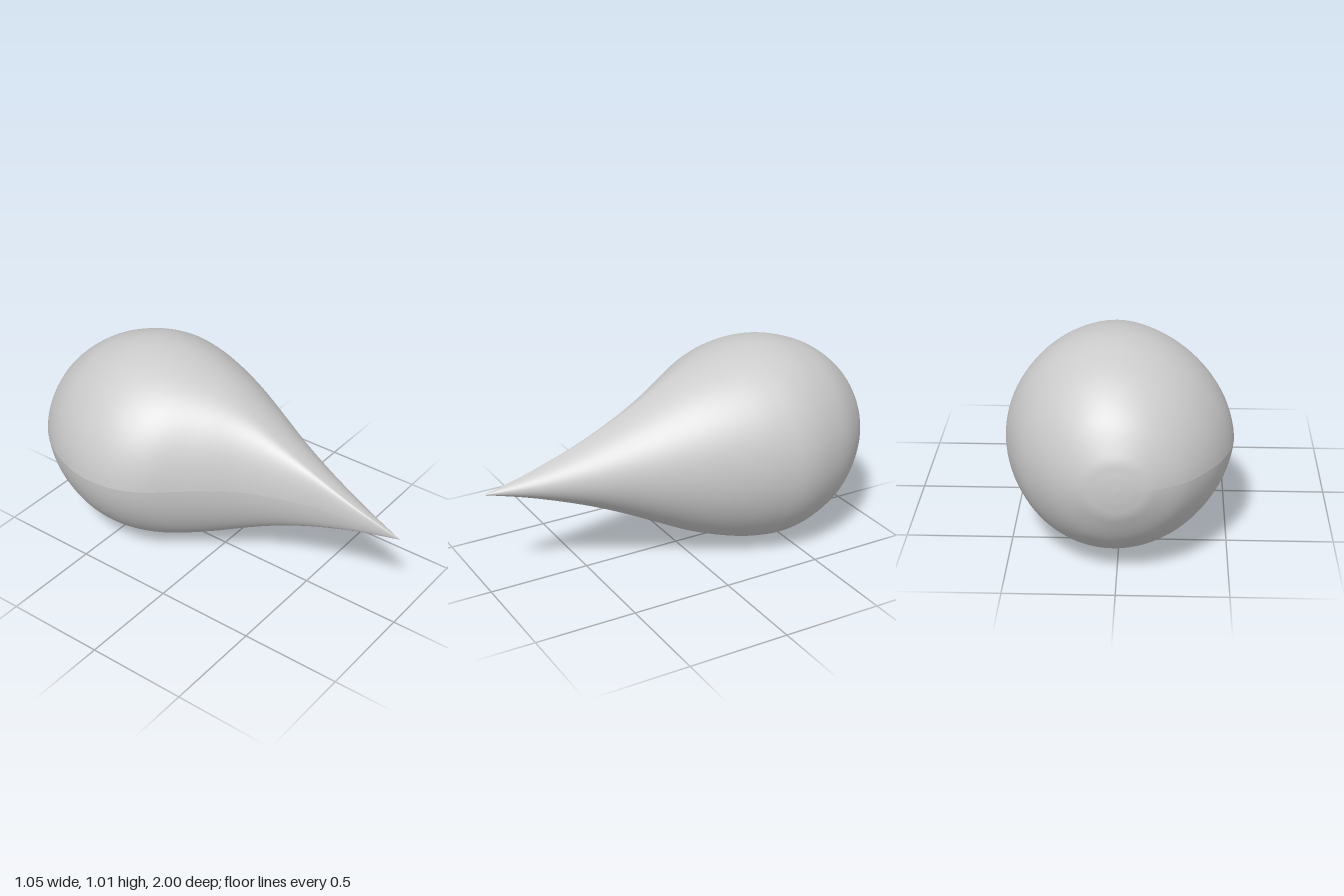
import * as THREE from 'three';

// Stations along the drop: [z, right side x, left side x, half height]
const STATIONS = [
  [-1, -0.01, -0.01, 0], [-0.993, -0.095, 0.08, 0.08], [-0.97, -0.18, 0.17, 0.161],
  [-0.885, -0.315, 0.3, 0.301], [-0.74, -0.43, 0.425, 0.42], [-0.58, -0.5, 0.495, 0.485],
  [-0.44, -0.524, 0.521, 0.505], [-0.3, -0.51, 0.503, 0.493], [-0.16, -0.447, 0.463, 0.458],
  [0, -0.315, 0.4, 0.4], [0.18, -0.18, 0.318, 0.312], [0.34, -0.11, 0.243, 0.232],
  [0.54, -0.055, 0.16, 0.145], [0.78, -0.026, 0.068, 0.06], [1, -0.013, -0.013, 0],
];
const CENTRE_Y = 0.505;
const RINGS = 112;
const SIDES = 96;

// Smooth curve through one column of the stations, drawn against z
function profile(column) {
  return new THREE.SplineCurve(STATIONS.map((s) => new THREE.Vector2(s[0], s[column])));
}

function dropGeometry() {
  const [right, left, height] = [1, 2, 3].map(profile);
  const positions = [];
  const index = [];
  for (let i = 0; i <= RINGS; i++) {
    const t = i / RINGS;
    const z = right.getPoint(t).x;
    const xr = right.getPoint(t).y;
    const xl = left.getPoint(t).y;
    const h = Math.max(0, height.getPoint(t).y);
    const cx = -0.013 + 0.08 * h;
    for (let j = 0; j <= SIDES; j++) {
      // The open seam lies on the -x flank, where it leaves a soft crease
      const a = -Math.PI + (j / SIDES) * Math.PI * 2;
      const c = Math.cos(a);
      const s = Math.sin(a);
      const x = c >= 0 ? cx + (xl - cx) * c : cx - (xr - cx) * c * (1 - 0.07 * Math.abs(s));
      positions.push(x, CENTRE_Y + h * s, z);
      if (i < RINGS && j < SIDES) {
        const p = i * (SIDES + 1) + j;
        const q = p + SIDES + 1;
        if (i < RINGS - 1) index.push(p, q + 1, q);
        if (i > 0) index.push(p, p + 1, q + 1);
        if (i === RINGS - 1) index.push(p, q + 1, q);
      }
    }
  }
  const geometry = new THREE.BufferGeometry();
  geometry.setAttribute('position', new THREE.Float32BufferAttribute(positions, 3));
  geometry.setIndex(index);
  geometry.computeVertexNormals();
  return geometry;
}

export function createModel() {
  const group = new THREE.Group();
  group.name = 'teardrop';
  const body = new THREE.Mesh(
    dropGeometry(),
    new THREE.MeshStandardMaterial({ color: 0xcccccc })
  );
  body.name = 'dropBody';
  group.add(body);
  return group;
}
